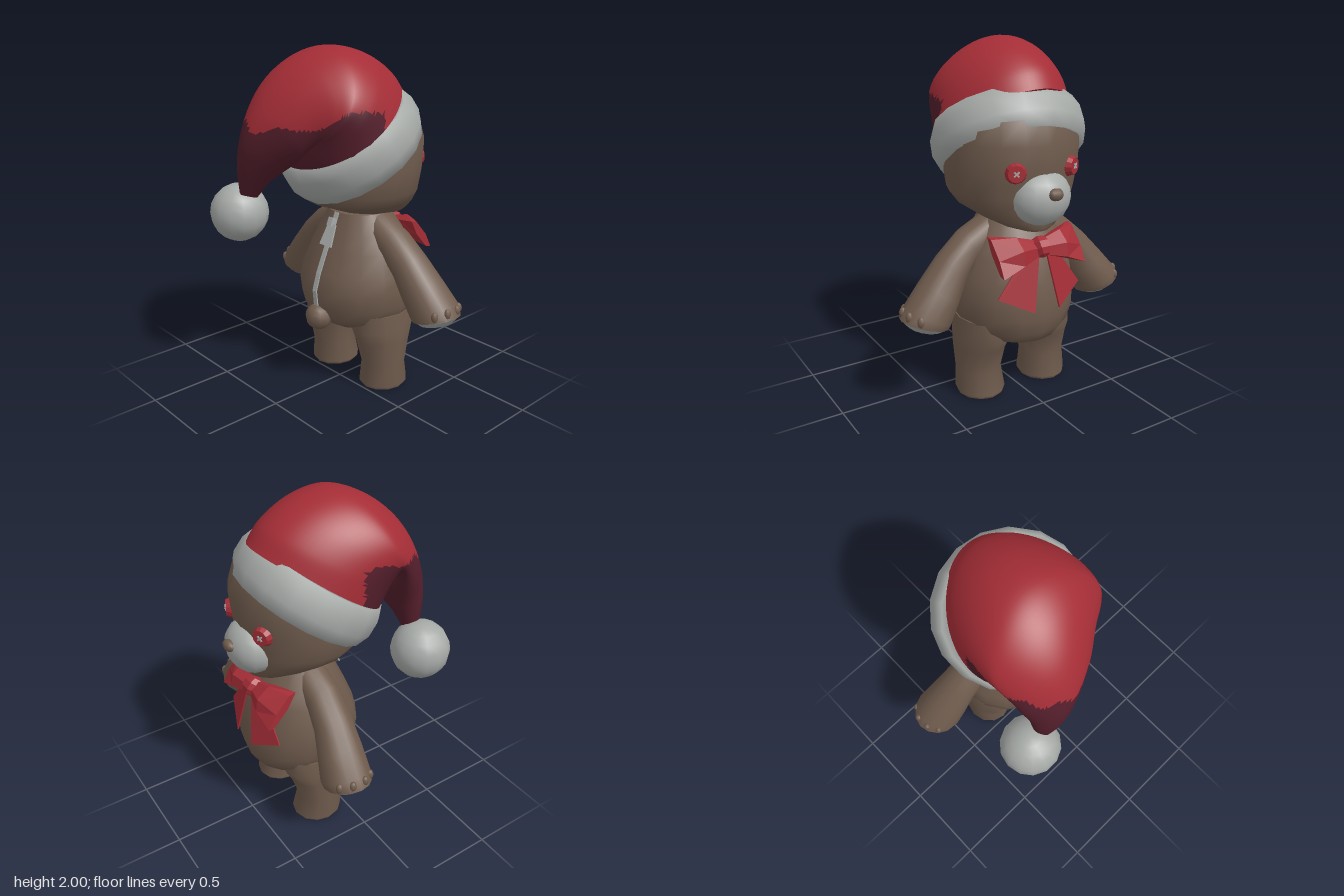
import * as THREE from 'three';
import { mergeGeometries } from 'three/addons/utils/BufferGeometryUtils.js';

const V = (x, y, z) => new THREE.Vector3(x, y, z);
const mat = (name, color) => {
  const m = new THREE.MeshStandardMaterial({ color });
  m.name = name;
  return m;
};

// Skin over elliptical sections {c, u, v}, travelling along u x v, with flat caps;
// egg narrows each section towards +u
function loft(sections, n = 16, egg = 0) {
  const pos = [], idx = [];
  const ring = (s) => {
    for (let j = 0; j < n; j++) {
      const a = (j / n) * Math.PI * 2;
      const p = s.c.clone().addScaledVector(s.u, Math.cos(a))
        .addScaledVector(s.v, Math.sin(a) * (1 - egg * Math.cos(a)));
      pos.push(p.x, p.y, p.z);
    }
  };
  sections.forEach(ring);
  for (let i = 0; i < sections.length - 1; i++)
    for (let j = 0; j < n; j++) {
      const a = i * n + j, b = i * n + ((j + 1) % n);
      idx.push(a, b, b + n, a, b + n, a + n);
    }
  [sections[0], sections[sections.length - 1]].forEach((s, k) => {
    const base = pos.length / 3;
    ring(s);
    for (let j = 1; j < n - 1; j++) {
      if (k) idx.push(base, base + j, base + j + 1);
      else idx.push(base, base + j + 1, base + j);
    }
  });
  const g = new THREE.BufferGeometry();
  g.setAttribute('position', new THREE.Float32BufferAttribute(pos, 3));
  g.setIndex(idx);
  g.computeVertexNormals();
  return g;
}

// Upright section: height, left and right x, back (+z) and front (-z)
const level = (y, x0, x1, zb, zf) => ({
  c: V((x0 + x1) / 2, y, (zb + zf) / 2), u: V(0, 0, (zb - zf) / 2), v: V((x1 - x0) / 2, 0, 0),
});

function mirror(g) {
  const m = g.clone().scale(-1, 1, 1), p = m.attributes.position;
  if (!m.index) m.setIndex([...Array(p.count).keys()]);
  const a = m.index.array;
  for (let i = 0; i < a.length; i += 3) [a[i], a[i + 1]] = [a[i + 1], a[i]];
  return m;
}

function flat(g) {
  const f = g.toNonIndexed();
  f.computeVertexNormals();
  return f;
}

const ball = (r, sx, sy, sz, x, y, z, w = 14, h = 10) =>
  new THREE.SphereGeometry(r, w, h).scale(sx, sy, sz).translate(x, y, z);

const plate = (points, depth) => new THREE.ExtrudeGeometry(
  new THREE.Shape(points.map(([x, y]) => new THREE.Vector2(x, y))), { depth, bevelEnabled: false });

export function createModel() {
  const group = new THREE.Group();
  const brown = mat('brown fur', 0x6f5b4d);
  const red = mat('red cloth', 0xa42d36);
  const maroon = mat('dark red cloth', 0x531e2b);
  const white = mat('pale grey fluff', 0xa6aaa7);

  const add = (name, geo, material) => {
    const m = new THREE.Mesh(geo, material);
    m.name = name;
    group.add(m);
  };
  const addPair = (name, geo, material) => {
    add('left' + name, geo, material);
    add('right' + name, mirror(geo), material);
  };

  // Torso: height, back, front, half width
  const torso = [
    [0.335, -0.08, -0.37, 0.1], [0.37, 0.06, -0.45, 0.24], [0.43, 0.15, -0.485, 0.32],
    [0.52, 0.185, -0.505, 0.355], [0.62, 0.195, -0.5, 0.365], [0.72, 0.165, -0.485, 0.353],
    [0.85, 0.11, -0.45, 0.31], [0.95, 0.065, -0.4, 0.26], [1.06, 0.02, -0.33, 0.19],
  ];
  add('body', loft(torso.map(([y, b, f, w]) => level(y, -w, w, b, f))), brown);

  // Head
  const head = [
    [1.01, -0.3, -0.46, 0.08], [1.03, -0.18, -0.47, 0.15], [1.065, 0.0, -0.475, 0.22],
    [1.13, 0.165, -0.48, 0.31], [1.2, 0.2, -0.485, 0.36], [1.33, 0.21, -0.5, 0.383],
    [1.48, 0.19, -0.515, 0.38], [1.62, 0.15, -0.47, 0.35], [1.72, 0.06, -0.38, 0.25],
    [1.78, -0.04, -0.28, 0.12],
  ];
  add('head', loft(head.map(([y, b, f, w]) => level(y, -w, w, b, f)), 18), brown);
  add('muzzle', ball(1, 0.172, 0.152, 0.138, 0, 1.195, -0.44), white);
  add('nose', ball(1, 0.045, 0.034, 0.03, 0, 1.237, -0.575, 8, 6), brown);

  // Button eyes with stitched crosses
  const turn = Math.atan2(1.21, -2.49);
  const place = (g) => g.rotateY(turn).translate(0.174, 1.348, -0.464);
  addPair('Eye', flat(place(new THREE.CylinderGeometry(0.045, 0.065, 0.05, 12).rotateX(Math.PI / 2))), red);
  const stitch = (a) => new THREE.BoxGeometry(0.036, 0.009, 0.008).rotateZ(a).translate(0, 0, 0.026);
  addPair('EyeStitch', place(mergeGeometries([stitch(0.78), stitch(-0.78)])), white);

  // Legs
  addPair('Leg', loft([
    level(0, 0.085, 0.345, -0.02, -0.3), level(0.02, 0.073, 0.355, -0.01, -0.312),
    level(0.15, 0.09, 0.352, -0.02, -0.285), level(0.3, 0.065, 0.36, 0.02, -0.33),
    level(0.38, 0.05, 0.357, 0.05, -0.37), level(0.48, 0.1, 0.345, 0.04, -0.36),
  ], 12), brown);

  // Arms: outer edge, inner edge, centre z and half depth
  const slice = ([ox, oy, ix, iy, z, w]) => ({
    c: V((ox + ix) / 2, (oy + iy) / 2, z), u: V((ox - ix) / 2, (oy - iy) / 2, 0), v: V(0, 0, w),
  });
  addPair('Arm', loft([
    [0.18, 1.065, 0.15, 0.88, -0.16, 0.1], [0.33, 0.99, 0.27, 0.79, -0.165, 0.108],
    [0.47, 0.87, 0.33, 0.71, -0.175, 0.115], [0.59, 0.74, 0.385, 0.6, -0.19, 0.132],
    [0.69, 0.625, 0.44, 0.505, -0.205, 0.145], [0.72, 0.565, 0.45, 0.485, -0.205, 0.135],
  ].map(slice), 14), brown);
  addPair('PawPad', loft([
    [0.714, 0.561, 0.454, 0.485, -0.205, 0.13], [0.675, 0.515, 0.49, 0.472, -0.205, 0.095],
    [0.6, 0.493, 0.56, 0.482, -0.205, 0.02],
  ].map(slice), 14), white);
  addPair('Claws', mergeGeometries([-0.85, -0.3, 0.3, 0.85].map((a) =>
    ball(0.021, 1, 1.5, 1, 0.57 + 0.127 * Math.cos(a), 0.55 + 0.045 * Math.cos(a),
      -0.205 + 0.134 * Math.sin(a), 8, 6))), brown);

  // Tail
  add('tail', ball(0.083, 1, 0.95, 0.95, 0, 0.452, 0.166, 10, 8), brown);

  // Zipper following the back seam
  const seam = torso.slice(3).map(([y, b]) => V(0, y, b));
  add('zipper', mergeGeometries(seam.slice(1).map((p, i) => {
    const d = p.clone().sub(seam[i]), m = p.clone().add(seam[i]).multiplyScalar(0.5);
    return new THREE.BoxGeometry(0.032, d.length(), 0.009).rotateX(Math.atan2(d.z, d.y)).translate(0, m.y, m.z);
  })), white);
  add('zipperSlider', new THREE.BoxGeometry(0.035, 0.05, 0.04).rotateX(-0.4).translate(0, 1.01, 0.06), white);
  add('zipperPull', plate([[-0.033, -0.14], [0.065, -0.14], [0.038, -0.01], [-0.025, -0.01]], 0.009)
    .rotateX(-0.5).translate(0, 1.005, 0.055), white);

  // Bow: loops, knot and ribbon ends lying on the chest
  const wedge = [[0.02, 0.05, 0.035, 0], [0.14, 0.09, 0.06, 0], [0.265, 0.128, 0.025, 0.025]];
  const onChest = (g) => g.rotateX(0.66).translate(0, 0.91, -0.435);
  addPair('BowLoop', flat(onChest(loft(wedge.map(([x, h, t, z]) =>
    ({ c: V(x, 0, z), u: V(0, h, t * 0.4), v: V(0, -h * 0.3, t) })), 6))), red);
  add('bowKnot', flat(onChest(ball(1, 0.06, 0.062, 0.06, 0, 0, -0.015, 6, 5))), red);
  addPair('BowRibbon', plate([[0.02, 0.01], [0.085, -0.335], [0.28, -0.23], [0.09, 0.01]], 0.009)
    .rotateY(-0.3).rotateX(0.22).translate(0, 0.91, -0.475), red);

  // Fluffy hat band
  const profile = [[0.36, -0.12], [0.405, -0.12], [0.435, -0.04], [0.432, 0.05], [0.405, 0.115], [0.35, 0.115], [0.36, -0.12]];
  add('hatBand', new THREE.LatheGeometry(profile.map(([x, y]) => new THREE.Vector2(x, y)), 18)
    .scale(1, 1, 0.985).rotateX(0.58).rotateZ(0.13).translate(-0.02, 1.46, -0.09), white);

  // Hat crown: outer z,y and inner z,y of each section, centre x and half width
  const crown = [
    [-0.41, 1.755, 0.26, 1.31, -0.02, 0.385], [-0.33, 1.86, 0.3, 1.4, -0.03, 0.38],
    [-0.15, 1.965, 0.31, 1.46, -0.04, 0.375], [0.06, 2, 0.31, 1.49, -0.055, 0.36],
    [0.22, 1.94, 0.3, 1.47, -0.08, 0.325], [0.36, 1.82, 0.29, 1.43, -0.115, 0.275],
    [0.46, 1.66, 0.3, 1.37, -0.15, 0.225], [0.51, 1.5, 0.32, 1.31, -0.2, 0.155],
    [0.51, 1.35, 0.35, 1.25, -0.25, 0.1], [0.48, 1.19, 0.38, 1.16, -0.295, 0.045],
  ];
  const track = (k) => new THREE.CatmullRomCurve3(crown.map((r) => V(r[k], r[k + 1], 0)));
  const outer = track(0), inner = track(2), width = track(4), rings = [];
  for (let i = 0; i <= 60; i++) {
    const t = i / 60, o = outer.getPoint(t), n = inner.getPoint(t), w = width.getPoint(t);
    rings.push({
      c: V(w.x, (o.y + n.y) / 2, (o.x + n.x) / 2),
      u: V(0, (o.y - n.y) / 2, (o.x - n.x) / 2), v: V(-w.y, 0, 0),
    });
  }
  const hat = loft(rings, 64, 0.17);
  // Split the cloth along a wavy line into red above and dark red on the drooping back
  const p = hat.attributes.position, parts = [[], []], ix = hat.index.array;
  for (let i = 0; i < ix.length; i += 3) {
    const tri = [ix[i], ix[i + 1], ix[i + 2]];
    const mean = (f) => tri.reduce((s, k) => s + f(k), 0) / 3;
    const x = mean((k) => p.getX(k)), y = mean((k) => p.getY(k)), z = mean((k) => p.getZ(k));
    const edge = 1.575 + 0.75 * (x + 0.06) ** 2 + 0.02 * Math.sin(x * 30 + z * 18);
    parts[z > 0 && y < edge ? 1 : 0].push(...tri);
  }
  hat.setIndex([...parts[0], ...parts[1]]);
  hat.addGroup(0, parts[0].length, 0);
  hat.addGroup(parts[0].length, parts[1].length, 1);
  add('hatCrown', hat, [red, maroon]);
  add('pompom', ball(0.17, 1, 1, 1, -0.387, 1.06, 0.43, 14, 10), white);

  return group;
}
